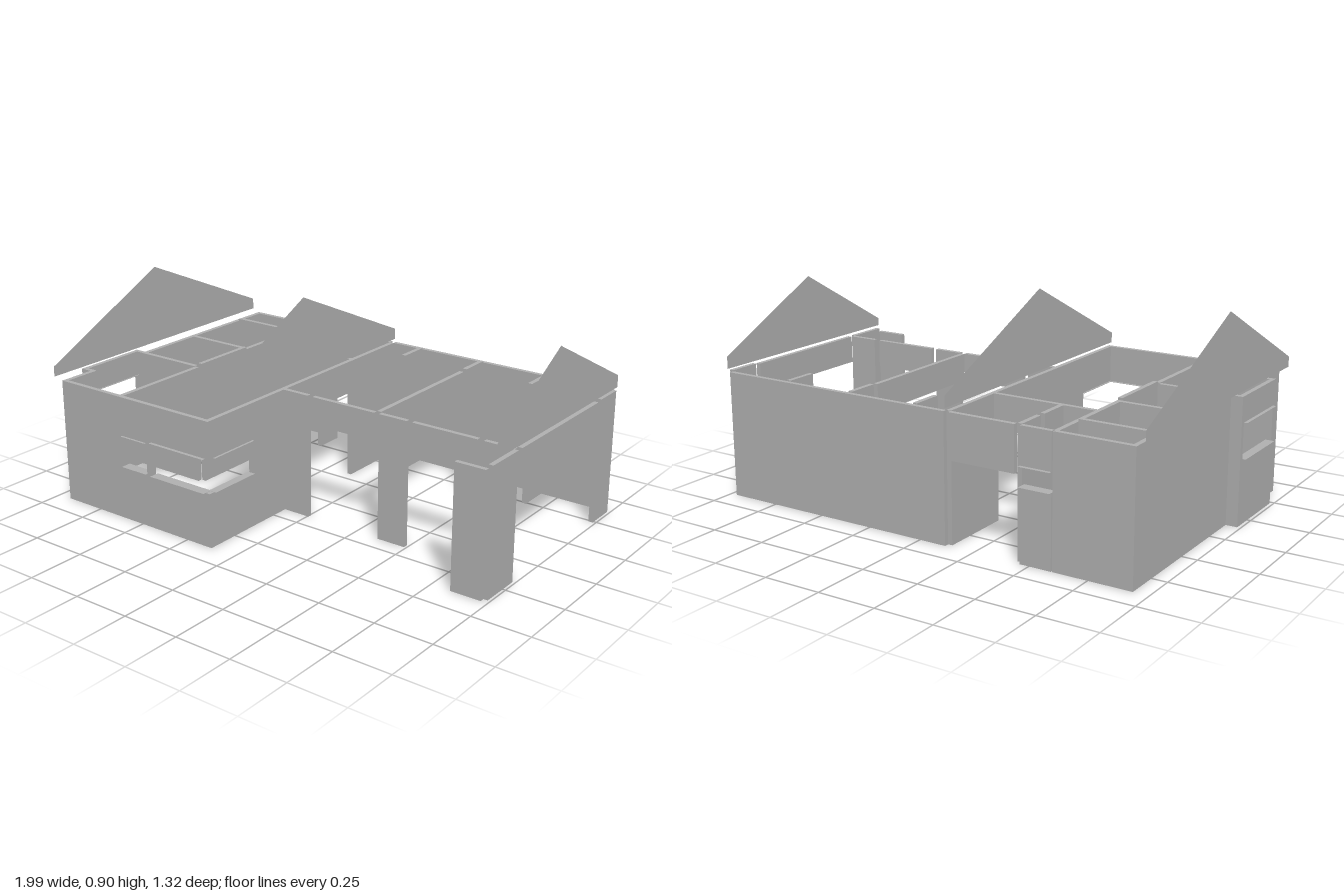
import * as THREE from 'three';

export function createModel() {
  const group = new THREE.Group();
  const plaster = new THREE.MeshStandardMaterial({ color: 0xb2b2b2, side: THREE.DoubleSide });
  plaster.name = 'grey plaster';

  const TOP = 0.54, BEAM = 0.42;

  // Axis-aligned block given by its extents
  function block(name, x0, x1, z0, z1, y0 = 0, y1 = TOP) {
    const mesh = new THREE.Mesh(new THREE.BoxGeometry(x1 - x0, y1 - y0, z1 - z0), plaster);
    mesh.position.set((x0 + x1) / 2, (y0 + y1) / 2, (z0 + z1) / 2);
    mesh.name = name;
    group.add(mesh);
  }
  // Wall running along z, or along x, 0.02 thick around its centre line
  const alongZ = (name, x, z0, z1, y0, y1) => block(name, x - 0.01, x + 0.01, z0, z1, y0, y1);
  const alongX = (name, z, x0, x1, y0, y1) => block(name, x0, x1, z - 0.01, z + 0.01, y0, y1);
  // Wall piece below and above an opening
  function opening(build, name, c, a, b, low, high) {
    if (low > 0) build(name + 'Sill', c, a, b, 0, low);
    build(name + 'Lintel', c, a, b, high, TOP);
  }
  // Thin boards lining the bottom and top of a window
  function trim(name, x0, x1, z0, z1, low, high) {
    for (const y of [low, high]) block(name + 'Trim', x0, x1, z0, z1, y - 0.001, y + 0.001);
  }

  // Back walls, with a window and a wide doorway
  alongX('backWallLeft', -0.635, -0.935, -0.6);
  opening(alongX, 'backWindow', -0.635, -0.595, -0.46, 0.305, 0.385);
  trim('backWindow', -0.595, -0.46, -0.66, -0.615, 0.305, 0.385);
  opening(alongX, 'backDoor', -0.635, -0.435, -0.14, 0, 0.35);
  alongX('backWallRight', -0.635, -0.12, 0.97);

  // Outer side wall and window bay
  alongZ('sideWall', -0.925, -0.625, 0.15);
  alongX('bayBackWall', 0.16, -0.985, -0.62);
  opening(alongZ, 'bayWindow', -0.975, 0.17, 0.465, 0.28, 0.43);
  trim('bayWindow', -1, -0.96, 0.17, 0.465, 0.28, 0.43);
  alongX('bayFrontWall', 0.475, -0.985, -0.915);
  alongZ('frontSideWall', -0.925, 0.485, 0.625);

  // Front wall with a small window and a corner window
  alongX('frontWall', 0.635, -0.935, -0.595);
  opening(alongX, 'frontWindow', 0.635, -0.595, -0.46, 0.235, 0.37);
  trim('frontWindow', -0.595, -0.46, 0.61, 0.655, 0.235, 0.37);
  alongX('frontPost', 0.635, -0.46, -0.43);
  opening(alongX, 'cornerWindowFront', 0.635, -0.43, -0.14, 0.235, 0.38);
  trim('cornerWindowFront', -0.43, -0.14, 0.615, 0.66, 0.235, 0.38);
  opening(alongZ, 'cornerWindowSide', -0.13, 0.38, 0.645, 0.235, 0.38);
  trim('cornerWindowSide', -0.147, -0.11, 0.38, 0.62, 0.235, 0.38);

  // Long middle wall with a doorway
  alongZ('middleWallBack', -0.13, -0.625, -0.3);
  opening(alongZ, 'middleDoor', -0.13, -0.3, -0.005, 0, 0.395);
  alongZ('middleWallFront', -0.13, -0.005, 0.38);

  // Bedroom partitions
  alongX('bedroomDividerBack', -0.48, -0.915, -0.615, 0, 0.55);
  alongX('bedroomDividerFront', -0.16, -0.915, -0.615);
  alongZ('corridorWallBack', -0.605, -0.625, -0.3);
  opening(alongZ, 'bedroomDoor', -0.605, -0.3, -0.165, 0, 0.395);
  alongZ('corridorWallMiddle', -0.605, -0.165, -0.15);
  alongZ('corridorWallFront', -0.605, -0.15, 0.15, 0, 0.55);
  alongZ('livingRoomBeam', -0.605, 0.17, 0.625, BEAM);

  // Small rooms at the back
  alongX('kitchenWall', -0.32, -0.595, -0.435);
  opening(alongX, 'kitchenDoor', -0.32, -0.435, -0.14, 0, 0.395);
  alongZ('closetWall', -0.447, -0.625, -0.495);
  alongZ('closetBeam', -0.447, -0.465, -0.33, BEAM);

  // Open hall: stub walls at the back, beams running forward
  for (const x of [0.027, 0.343, 0.662, 0.978]) {
    alongZ('stubWall', x, -0.625, -0.49, 0, 0.545);
  }
  for (const x of [0.343, 0.978]) alongZ('hallBeam', x, -0.465, 0.15, BEAM);

  // Front of the hall: piers and beams
  for (const [a, b] of [[-0.12, 0.005], [0.36, 0.49], [0.837, 0.97]]) alongX('frontPier', 0.165, a, b);
  for (const [a, b] of [[0.03, 0.335], [0.515, 0.81]]) alongX('frontBeam', 0.165, a, b, BEAM);
  alongZ('porchSideWall', 0.978, 0.178, 0.36);
  alongX('porchFrontWall', 0.37, 0.837, 0.97, 0, 0.525);

  // Flat gables standing across the roof line: points are [z, y]
  function gable(x, points) {
    const shape = new THREE.Shape(points.map(([z, y]) => new THREE.Vector2(-z, y)));
    const mesh = new THREE.Mesh(new THREE.ShapeGeometry(shape), plaster);
    mesh.rotation.y = Math.PI / 2;
    mesh.position.x = x;
    mesh.name = 'gable';
    group.add(mesh);
  }
  const large = [[0.655, 0.553], [-0.645, 0.553], [-0.645, 0.602], [0.03, 0.9], [0.655, 0.597]];
  gable(-0.97, large);
  gable(-0.127, large);
  gable(0.982, [[0.37, 0.553], [-0.645, 0.553], [-0.645, 0.605], [-0.12, 0.865], [0.37, 0.587]]);

  return group;
}
